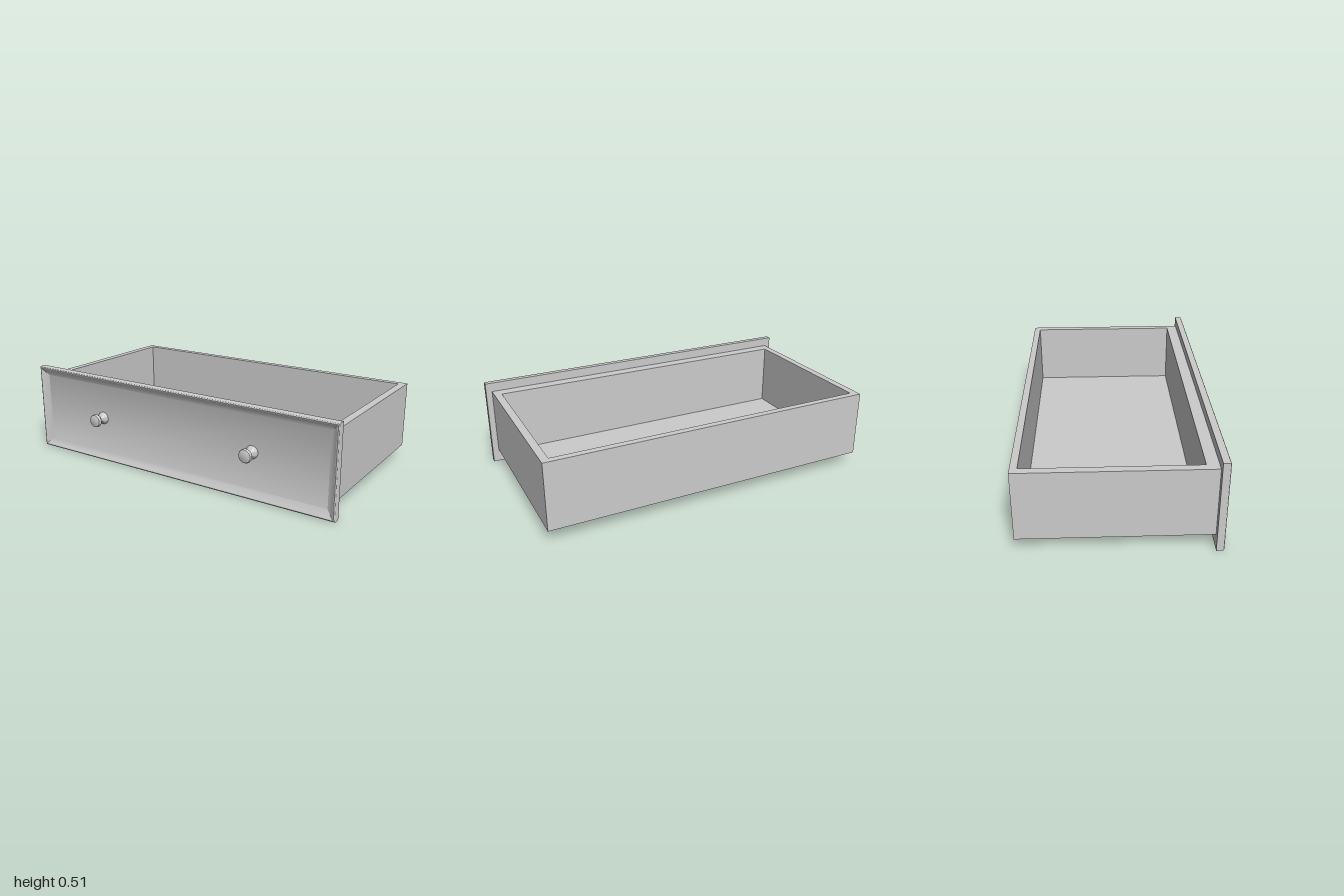
import * as THREE from 'three';
import { toCreasedNormals } from 'three/addons/utils/BufferGeometryUtils.js';

const material = new THREE.MeshStandardMaterial({ color: 0xcccccc });

function mesh(name, geometry) {
  const m = new THREE.Mesh(geometry, material);
  m.name = name;
  return m;
}

// Corners of a rectangle, counter-clockwise seen from the front
function rectangle(halfX, low, high) {
  return [[-halfX, low], [halfX, low], [halfX, high], [-halfX, high]];
}

// Panel made of mitred rectangular loops; profile is a list of [inset, z]
function mitredPanel(halfX, height, profile) {
  const loops = profile.map(([inset, z]) =>
    rectangle(halfX - inset, inset, height - inset).map(([x, y]) => [x, y, z]));
  const positions = [];
  const quad = (a, b, c, d) => positions.push(...a, ...b, ...c, ...a, ...c, ...d);
  for (let i = 0; i + 1 < loops.length; i++) {
    for (let k = 0; k < 4; k++) {
      const n = (k + 1) % 4;
      quad(loops[i][k], loops[i][n], loops[i + 1][n], loops[i + 1][k]);
    }
  }
  const [back, front] = [loops[0], loops[loops.length - 1]];
  quad(...front);
  quad(back[3], back[2], back[1], back[0]);
  const geometry = new THREE.BufferGeometry();
  geometry.setAttribute('position', new THREE.Float32BufferAttribute(positions, 3));
  return toCreasedNormals(geometry, 0.55);
}

// Four walls as one rectangular ring, extruded upwards
function wallRing(bottom, top) {
  const points = (list) => list.map(([x, y]) => new THREE.Vector2(x, y));
  const shape = new THREE.Shape(points(rectangle(0.965, -0.455, 0.552)));
  shape.holes.push(new THREE.Path(points(rectangle(0.922, -0.39, 0.514)).reverse()));
  const geometry = new THREE.ExtrudeGeometry(shape, { depth: top - bottom, bevelEnabled: false });
  return geometry.rotateX(-Math.PI / 2).translate(0, bottom, 0);
}

// Turned knob pointing to +z: flared foot, stem, rounded head
function knobGeometry() {
  const profile = [
    [0.036, 0], [0.036, 0.005], [0.031, 0.013], [0.022, 0.021], [0.018, 0.027],
    [0.018, 0.045], [0.024, 0.049], [0.034, 0.055], [0.038, 0.061],
    [0.038, 0.07], [0.035, 0.077], [0.029, 0.08], [0, 0.08],
  ].map(([r, y]) => new THREE.Vector2(r, y));
  const geometry = new THREE.LatheGeometry(profile, 32).rotateX(Math.PI / 2);
  return toCreasedNormals(geometry, 0.7);
}

export function createModel() {
  const drawer = new THREE.Group();
  drawer.name = 'drawer';

  // Open box with a thin floor
  drawer.add(mesh('boxWalls', wallRing(0.075, 0.46)));
  const floor = mesh('boxFloor', new THREE.BoxGeometry(1.86, 0.01, 0.92));
  floor.position.set(0, 0.081, -0.062);
  drawer.add(floor);
  const underside = mesh('boxUnderside', new THREE.BoxGeometry(1.93, 0.004, 1.007));
  underside.position.set(0, 0.077, -0.0485);
  drawer.add(underside);

  // Overlapping front with rounded rim and sloped, recessed field
  drawer.add(mesh('frontPanel', mitredPanel(1, 0.513, [
    [0, 0.455], [0, 0.488], [0.003, 0.494], [0.008, 0.497],
    [0.013, 0.496], [0.018, 0.492], [0.052, 0.472],
  ])));

  // Pair of knobs
  for (const [name, side] of [['leftKnob', 1], ['rightKnob', -1]]) {
    const knob = mesh(name, knobGeometry());
    knob.position.set(side * 0.512, 0.26, 0.472);
    drawer.add(knob);
  }
  return drawer;
}
